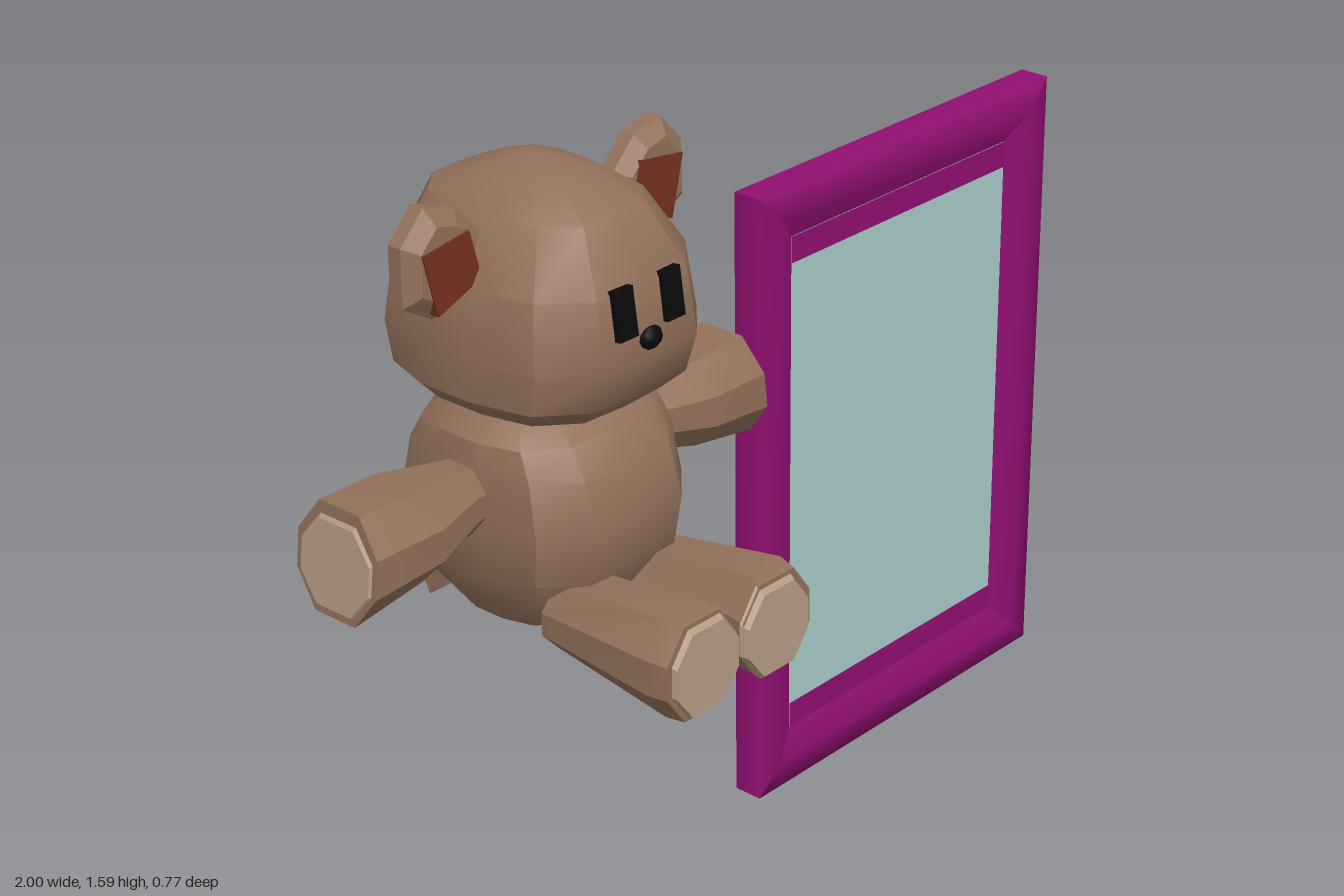
import * as THREE from 'three';
import { toCreasedNormals } from 'three/addons/utils/BufferGeometryUtils.js';

const CX = -0.476; // middle of the bear
const BROWN = 0x92705a, TAN = 0xb59a84, RED = 0x74301f, BLACK = 0x0a0a0a;
const PURPLE = 0x8f0f70, GLASS = 0xa8cac7;

const paint = (color, side = THREE.FrontSide) => new THREE.MeshStandardMaterial({ color, side });

function add(parent, name, geometry, color, side) {
  const mesh = new THREE.Mesh(geometry, paint(color, side));
  mesh.name = name;
  parent.add(mesh);
  return mesh;
}

// Closed skin through rings of [x, y, z] points, turned outward by its volume.
function loft(rings, crease = 0.6) {
  const tris = [];
  const n = rings[0].length;
  for (let r = 0; r < rings.length - 1; r++) {
    for (let i = 0; i < n; i++) {
      const j = (i + 1) % n, a = rings[r], b = rings[r + 1];
      tris.push([a[i], a[j], b[j]], [a[i], b[j], b[i]]);
    }
  }
  const cap = (ring, flip) => {
    const mid = [0, 1, 2].map(k => ring.reduce((s, p) => s + p[k], 0) / n);
    ring.forEach((p, i) => {
      const q = ring[(i + 1) % n];
      tris.push(flip ? [mid, q, p] : [mid, p, q]);
    });
  };
  cap(rings[0], true);
  cap(rings[rings.length - 1], false);
  const v = p => new THREE.Vector3(...p);
  const volume = tris.reduce((s, [a, b, c]) => s + v(a).dot(v(b).cross(v(c))), 0);
  const flat = tris.flatMap(([a, b, c]) => (volume > 0 ? [a, b, c] : [a, c, b])).flat();
  const g = new THREE.BufferGeometry();
  g.setAttribute('position', new THREE.Float32BufferAttribute(flat, 3));
  g.computeVertexNormals();
  return toCreasedNormals(g, crease);
}

// Soft block: levels are [y, half width, front z, back z].
function softBlock(levels) {
  const half = [[0, 1.0], [0.52, 0.97], [0.88, 0.68], [1, 0.2], [1, -0.3], [0.85, -0.72], [0.45, -0.97], [0, -1]];
  const outline = [...half, ...half.slice(1, -1).reverse().map(([x, z]) => [-x, z])];
  return loft(levels.map(([y, w, f, b]) =>
    outline.map(([x, z]) => [CX + x * w, y, (f + b) / 2 + z * (f - b) / 2])));
}

// Eight-sided section, filling a rectangle in two axes.
const octagon = (u0, u1, v0, v1) =>
  [[1, 0.35], [0.5, 1], [-0.5, 1], [-1, 0.35], [-1, -0.35], [-0.5, -1], [0.5, -1], [1, -0.35]]
    .map(([u, v]) => [(u0 + u1) / 2 + u * (u1 - u0) / 2, (v0 + v1) / 2 + v * (v1 - v0) / 2]);

function makeBear() {
  const bear = new THREE.Group();
  bear.name = 'bear';

  add(bear, 'head', softBlock([
    [1.135, 0.13, 0.0, -0.2], [1.16, 0.19, 0.11, -0.31], [1.2, 0.228, 0.155, -0.345],
    [1.28, 0.236, 0.18, -0.36], [1.41, 0.218, 0.163, -0.342], [1.52, 0.15, 0.1, -0.29],
    [1.56, 0.09, 0.02, -0.2], [1.588, 0.012, -0.08, -0.12],
  ]), BROWN);
  add(bear, 'body', softBlock([
    [0.73, 0.15, 0.04, -0.23], [0.775, 0.18, 0.09, -0.285], [0.85, 0.21, 0.13, -0.33],
    [0.95, 0.217, 0.147, -0.347], [1.05, 0.21, 0.12, -0.32], [1.105, 0.2, 0.08, -0.28],
    [1.14, 0.165, 0.03, -0.23],
  ]), BROWN);

  for (const s of [1, -1]) {
    const side = s > 0 ? 'left' : 'right';
    const flipX = p => [CX + s * (p[0] - CX), p[1], p[2]];

    // arm, widening to a blunt hand with a paler pad
    const armRing = (x, y0, y1, z0, z1, lean = 0) => octagon(z0, z1, y0, y1)
      .map(([z, y]) => flipX([x + lean * (0.975 - y), y, z]));
    add(bear, side + 'Arm', loft([
      armRing(-0.32, 0.94, 1.05, -0.15, -0.04), armRing(-0.24, 0.93, 1.06, -0.165, -0.03),
      armRing(-0.12, 0.9, 1.075, -0.21, 0.008), armRing(0.032, 0.873, 1.08, -0.2, 0, 0.12),
    ], 0.4), BROWN);
    add(bear, side + 'HandPad', loft([
      armRing(0.03, 0.885, 1.06, -0.19, -0.01, 0.12), armRing(0.037, 0.89, 1.05, -0.185, -0.015, 0.12),
    ], 0.3), TAN);

    // leg, pointing forward, with a paler sole
    const legRing = (z, x0, x1, y0, y1) => octagon(x0, x1, y0, y1).map(([x, y]) => flipX([x, y, z]));
    add(bear, side + 'Leg', loft([
      legRing(0.06, -0.46, -0.3, 0.71, 0.84), legRing(0.34, -0.462, -0.275, 0.682, 0.878),
      legRing(0.378, -0.465, -0.285, 0.682, 0.872),
    ], 0.4), BROWN);
    add(bear, side + 'Sole', loft([
      legRing(0.37, -0.468, -0.295, 0.685, 0.87), legRing(0.388, -0.462, -0.3, 0.69, 0.855),
    ], 0.3), TAN);

    // ear: bevelled hexagon with a red inner patch
    const rim = [[0.35, 1.52], [0.295, 1.577], [0.225, 1.56], [0.165, 1.5], [0.2, 1.4], [0.285, 1.37], [0.352, 1.41]];
    const earRing = (k, z) => rim.map(([x, y]) =>
      [CX + s * (0.265 + (x - 0.265) * k), 1.475 + (y - 1.475) * k, z]);
    add(bear, side + 'Ear', loft([
      earRing(0.6, -0.128), earRing(1, -0.1), earRing(1, -0.07), earRing(0.7, -0.046),
    ], 0.3), BROWN);
    const patch = [[0.325, 1.505], [0.215, 1.52], [0.19, 1.425], [0.295, 1.385]];
    add(bear, side + 'InnerEar', loft([-0.065, -0.042].map(z =>
      patch.map(([x, y]) => [CX + s * x, y, z])), 0.3), RED);

    const eye = add(bear, side + 'Eye', new THREE.BoxGeometry(0.046, 0.092, 0.022), BLACK);
    eye.position.set(CX + s * 0.06, 1.374, 0.164);
    eye.rotation.x = -0.14;
  }

  const nose = add(bear, 'nose', new THREE.SphereGeometry(1, 8, 6), BLACK);
  nose.scale.set(0.029, 0.022, 0.014);
  nose.position.set(CX, 1.312, 0.174);

  // wedge-shaped tail
  const tail = [[0.845, -0.383], [0.765, -0.275], [0.685, -0.295]];
  add(bear, 'tail', loft([-0.115, 0.115].map(x => tail.map(([y, z]) => [CX + x, y, z])), 0.3), BROWN);
  return bear;
}

function makeFrame() {
  const frame = new THREE.Group();
  frame.name = 'pictureFrame';
  const w = 0.455, h = 0.666, x = 0.545, y = h;
  // moulding section: inset from the outer edge, z
  const section = [[0, -0.13], [0, -0.066], [0.06, -0.06], [0.115, -0.085]];
  const corners = [[1, 1], [-1, 1], [-1, -1], [1, -1]];
  corners.forEach(([ax, ay], i) => {
    const [bx, by] = corners[(i + 1) % 4];
    const pos = section.flatMap(([d, z]) =>
      [x + ax * (w - d), y + ay * (h - d), z, x + bx * (w - d), y + by * (h - d), z]);
    const index = [0, 2, 4].flatMap(k => [k, k + 2, k + 1, k + 1, k + 2, k + 3]);
    const g = new THREE.BufferGeometry();
    g.setAttribute('position', new THREE.Float32BufferAttribute(pos, 3));
    g.setIndex(index);
    g.computeVertexNormals();
    add(frame, ['top', 'right', 'bottom', 'left'][i] + 'Rail', g, PURPLE, THREE.DoubleSide);
  });
  const back = add(frame, 'backPanel', new THREE.PlaneGeometry(2 * w, 2 * h), PURPLE);
  back.position.set(x, y, -0.13);
  back.rotation.y = Math.PI;
  const pane = add(frame, 'pane', new THREE.PlaneGeometry(2 * (w - 0.115), 2 * (h - 0.17) ), GLASS);
  pane.scale.y = (h - 0.115) / (h - 0.17);
  pane.position.set(x, y, -0.085);
  // deeper top and bottom rails
  for (const s of [1, -1]) {
    const lip = add(frame, s > 0 ? 'topLip' : 'bottomLip', new THREE.PlaneGeometry(2 * (w - 0.115), 0.056), PURPLE);
    lip.position.set(x, y + s * (h - 0.143), -0.083);
  }
  return frame;
}

export function createModel() {
  const model = new THREE.Group();
  model.name = 'bearAndFrame';
  model.add(makeBear(), makeFrame());
  return model;
}
